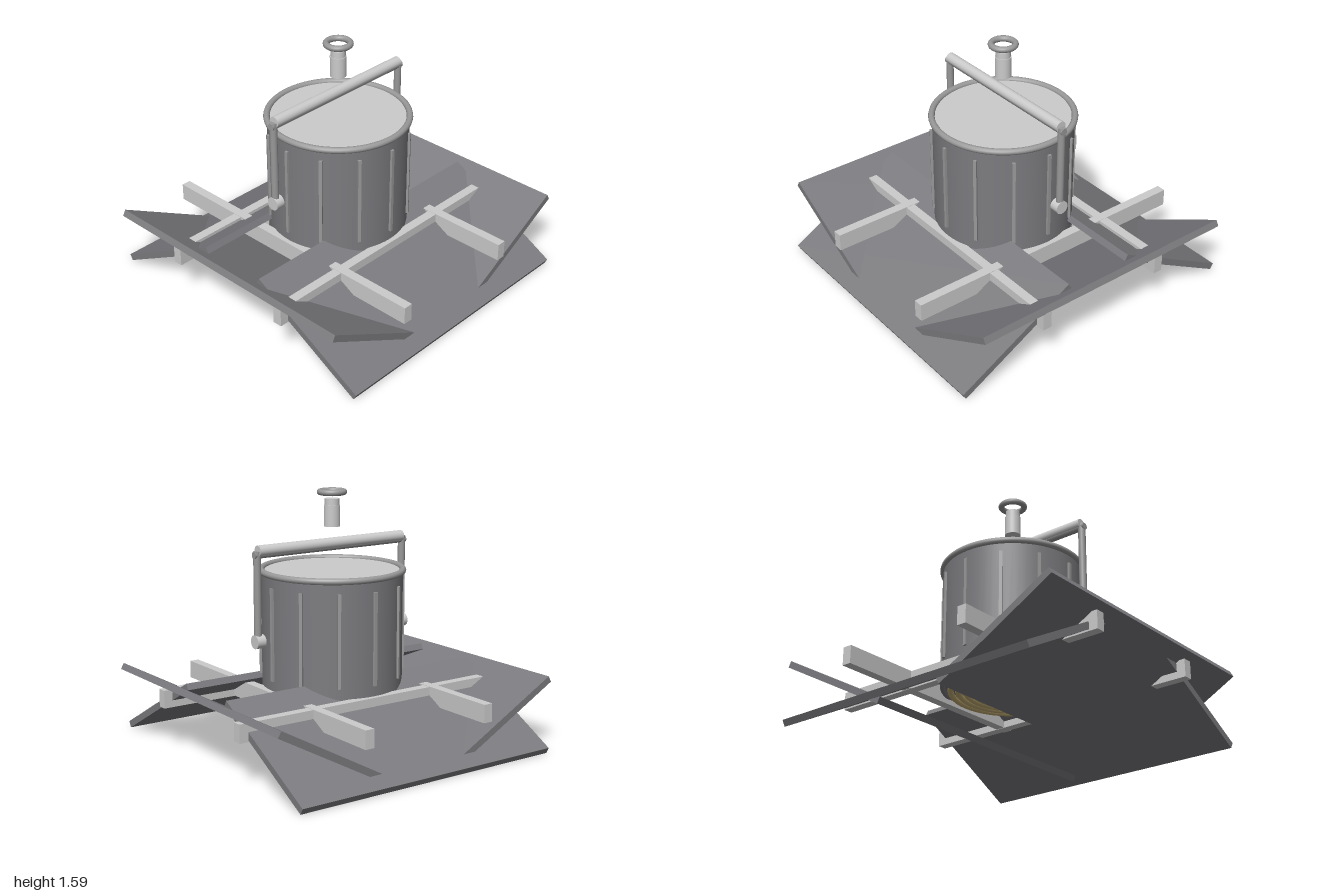
import * as THREE from 'three';

const dark = new THREE.MeshStandardMaterial({ color: 0x7c7c80 });
const light = new THREE.MeshStandardMaterial({ color: 0xcccccc });
const steel = new THREE.MeshStandardMaterial({ color: 0x999999 });
const gold = new THREE.MeshStandardMaterial({ color: 0xc4ae74 });

export function createModel() {
  const model = new THREE.Group();

  function add(name, geometry, material, x = 0, y = 0, z = 0) {
    const mesh = new THREE.Mesh(geometry, material);
    mesh.name = name;
    mesh.position.set(x, y, z);
    model.add(mesh);
    return mesh;
  }
  const box = (w, h, d) => new THREE.BoxGeometry(w, h, d);
  const cyl = (r, h, n = 24) => new THREE.CylinderGeometry(r, r, h, n);
  const ring = (r, tube, n = 64) => new THREE.TorusGeometry(r, tube, 12, n).rotateX(Math.PI / 2);

  // Sloping boards: front and back fall outwards, the sides rise outwards
  const tilt = 0.5;
  for (const s of [1, -1]) {
    const end = add(s > 0 ? 'frontBoard' : 'backBoard', box(1.816, 0.042, 0.877), dark, 0, 0.23, s * 0.605);
    end.rotation.x = s * tilt;
    const side = add(s > 0 ? 'leftBoard' : 'rightBoard', box(0.877, 0.042, 1.816), dark, s * 0.605, 0.23, 0);
    side.rotation.z = s * tilt;

    // Crossing support beams
    add('crossBeam', box(1.93, 0.112, 0.06), light, 0, 0.328, s * 0.435);
    add('lengthBeam', box(0.06, 0.112, 1.93), light, s * 0.435, 0.33, 0);
  }

  // Drum with rim, lid and twelve vertical ribs
  add('drum', cyl(0.435, 0.77, 64), dark, 0, 0.705, 0);
  add('lid', cyl(0.425, 0.02, 64), light, 0, 1.085, 0);
  add('rim', ring(0.435, 0.02), steel, 0, 1.095, 0);
  add('bottomRim', ring(0.425, 0.015), dark, 0, 0.32, 0);
  for (let i = 0; i < 12; i++) {
    const a = (i * Math.PI) / 6;
    const rib = add('rib', box(0.02, 0.57, 0.025), steel, Math.sin(a) * 0.437, 0.735, Math.cos(a) * 0.437);
    rib.rotation.y = a;
  }

  // Concentric coil under the drum
  for (let i = 0; i < 8; i++) {
    add('coilRing', ring(0.06 + i * 0.045, 0.018, 48), gold, 0, 0.295, 0);
  }

  // Carrying handle: two posts, a top rod with a thicker grip, and pivots
  for (const s of [1, -1]) {
    add('handlePost', cyl(0.023, 0.54, 12), steel, s * 0.542, 0.985, 0);
    add('handlePivot', cyl(0.042, 0.058).rotateZ(Math.PI / 2), light, s * 0.537, 0.71, 0);
  }
  add('handleRod', cyl(0.022, 1.13, 12).rotateZ(Math.PI / 2), steel, 0, 1.233, 0);
  add('handleGrip', cyl(0.034, 1.075).rotateZ(Math.PI / 2), light, 0, 1.256, 0);

  // Floating stem and ring above the handle
  add('stem', cyl(0.05, 0.13), light, 0, 1.425, 0);
  add('stemNeck', cyl(0.045, 0.04), light, 0, 1.51, 0);
  add('topRing', ring(0.073, 0.019, 32), steel, 0, 1.57, 0);

  return model;
}
